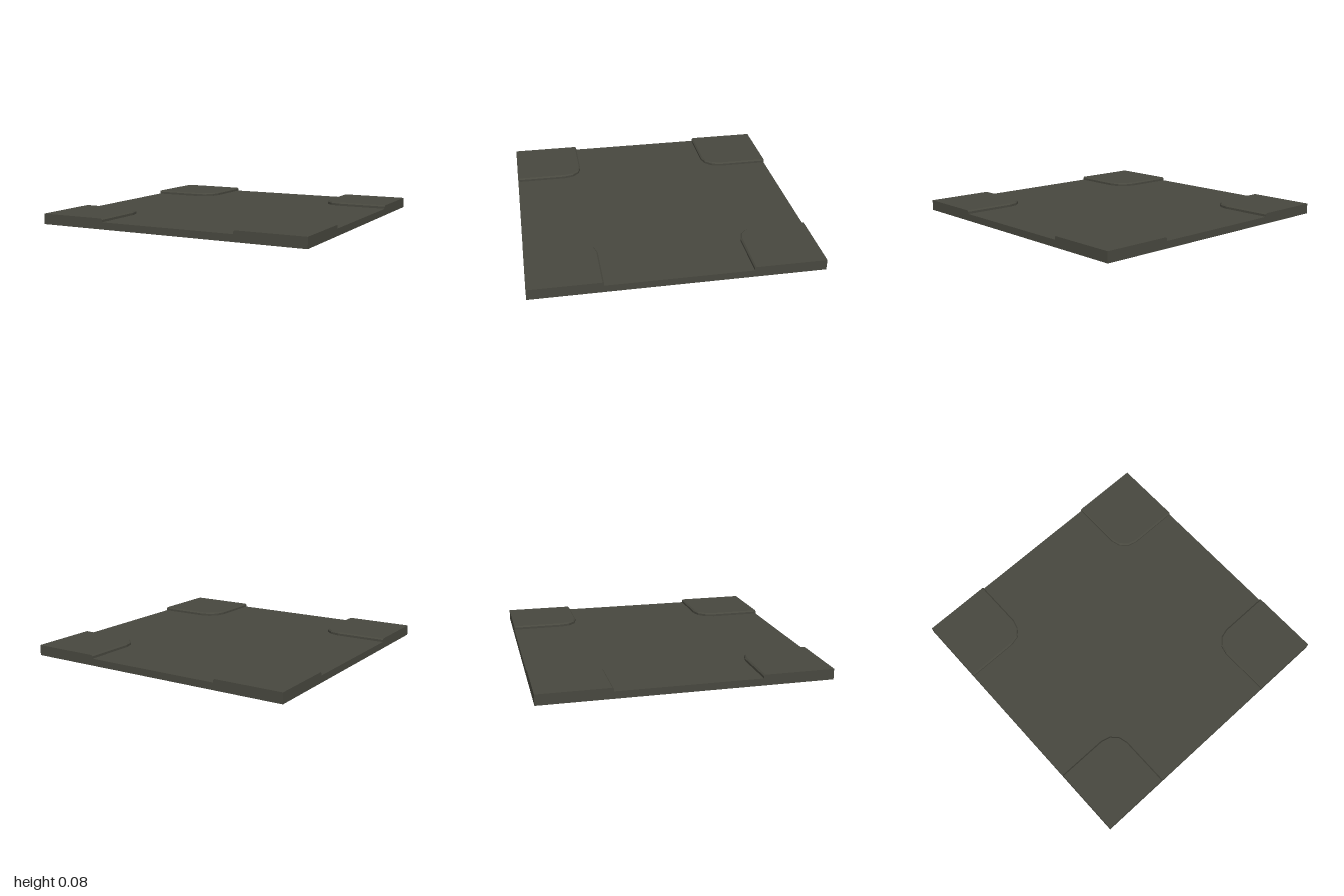
import * as THREE from 'three';

const FLOOR = 0.05, LIP = 0.066, TOP = 0.075; // heights
const EDGE = 0.5, RADIUS = 0.135, BEVEL = 0.01; // pad outline

// Inner outline of a corner pad, inset by d, from the x edge round to the z edge
function padOutline(d) {
  const c = EDGE + RADIUS, r = RADIUS - d;
  const points = [new THREE.Vector2(1, c - r)];
  for (let i = 0; i <= 3; i++) {
    const a = (i / 3) * Math.PI / 2;
    points.push(new THREE.Vector2(c - r * Math.sin(a), c - r * Math.cos(a)));
  }
  points.push(new THREE.Vector2(c - r, 1));
  return points;
}

function flatPanel(points, y) {
  return new THREE.ShapeGeometry(new THREE.Shape(points)).rotateX(-Math.PI / 2).translate(0, y, 0);
}

// Upright step with a bevelled lip, lofted between pad outlines
function stepGeometry() {
  const rings = [[0, FLOOR], [0, LIP], [BEVEL, TOP]]
    .map(([d, y]) => padOutline(d).map(p => new THREE.Vector3(p.x, y, -p.y)));
  const corners = [];
  for (let k = 0; k < rings.length - 1; k++) {
    for (let i = 0; i < rings[k].length - 1; i++) {
      const a = rings[k][i], b = rings[k][i + 1];
      const c = rings[k + 1][i + 1], d = rings[k + 1][i];
      corners.push(a, c, b, a, d, c);
    }
  }
  const geometry = new THREE.BufferGeometry().setFromPoints(corners);
  geometry.computeVertexNormals();
  return geometry;
}

export function createModel() {
  const model = new THREE.Group();
  model.name = 'floorTile';
  const material = new THREE.MeshStandardMaterial({ color: 0x48483f, side: THREE.DoubleSide, flatShading: true });
  material.name = 'dark olive grey';

  const add = (parent, name, geometry) => {
    const mesh = new THREE.Mesh(geometry, material);
    mesh.name = name;
    parent.add(mesh);
  };

  // Cross-shaped floor between the four pads
  const floorPoints = [];
  for (let q = 0; q < 4; q++) {
    for (const p of padOutline(0)) {
      floorPoints.push(p.rotateAround(new THREE.Vector2(), q * Math.PI / 2));
    }
  }
  add(model, 'floor', flatPanel(floorPoints, FLOOR));

  // Side wall following the stepped top; the underside stays open
  const wall = new THREE.ShapeGeometry(new THREE.Shape([
    [-1, 0], [1, 0], [1, TOP], [EDGE + BEVEL, TOP], [EDGE, LIP], [EDGE, FLOOR],
    [-EDGE, FLOOR], [-EDGE, LIP], [-EDGE - BEVEL, TOP], [-1, TOP],
  ].map(([x, y]) => new THREE.Vector2(x, y)))).translate(0, 0, 1);
  const padTop = flatPanel([...padOutline(BEVEL), new THREE.Vector2(1, 1)], TOP);
  const step = stepGeometry();

  // One corner pad and one side wall per quarter turn
  for (let q = 0; q < 4; q++) {
    const quarter = new THREE.Group();
    quarter.name = 'quarter' + (q + 1);
    quarter.rotation.y = q * Math.PI / 2;
    add(quarter, 'padTop', padTop);
    add(quarter, 'padStep', step);
    add(quarter, 'sideWall', wall);
    model.add(quarter);
  }
  return model;
}
